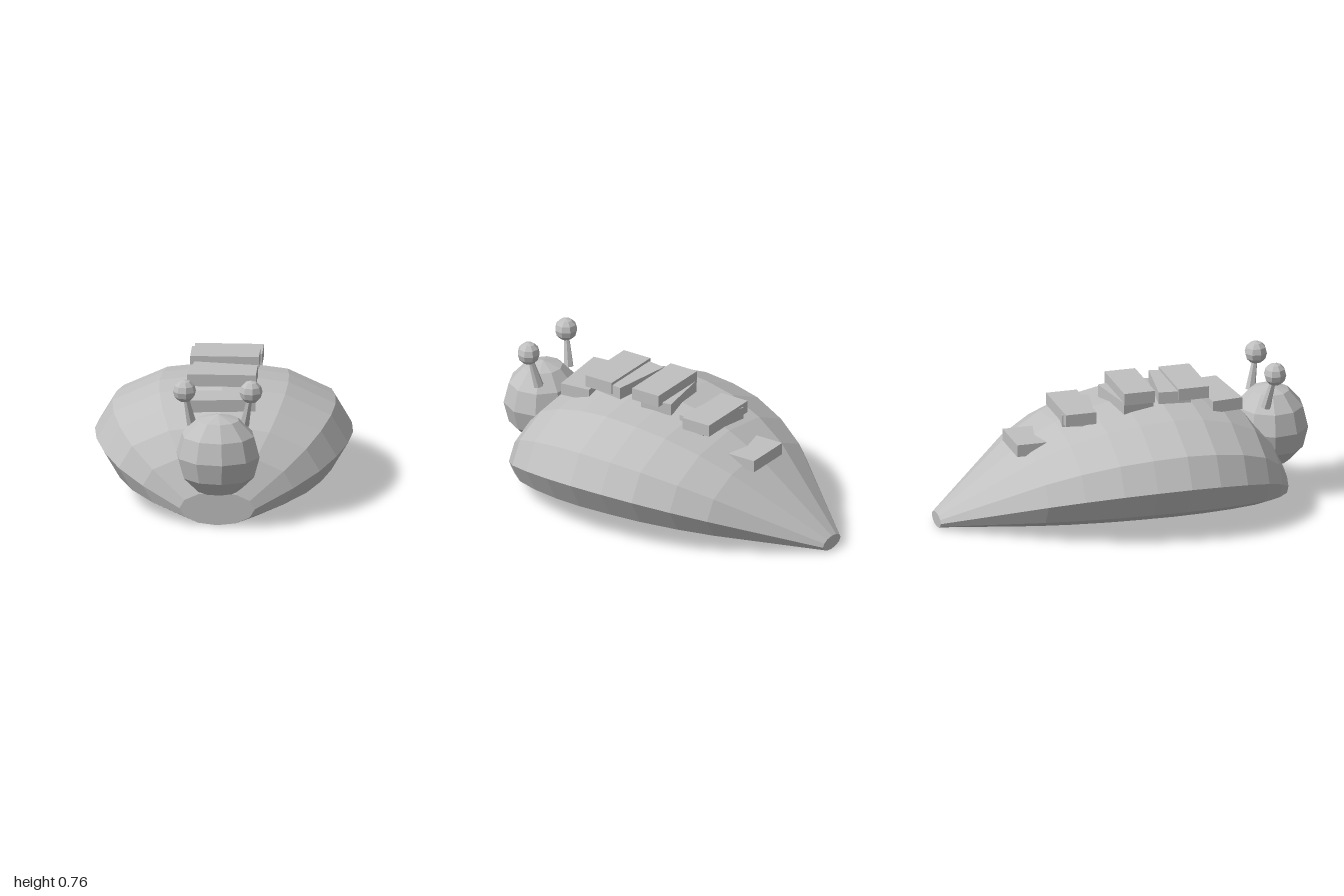
import * as THREE from 'three';

const stone = new THREE.MeshStandardMaterial({ color: 0xc0c0c0 });
stone.name = 'pale grey';

// Faceted mesh: unshared vertices give every face its own normal
function facetedMesh(name, geometry) {
  const flat = geometry.index ? geometry.toNonIndexed() : geometry;
  flat.computeVertexNormals();
  const mesh = new THREE.Mesh(flat, stone);
  mesh.name = name;
  return mesh;
}

// Twelve-sided rings resting on y = 0, lofted from tail to front
function bodyGeometry() {
  const rings = [ // z, half width
    [-1, 0.08], [-0.53, 0.455], [-0.36, 0.55], [-0.17, 0.62], [0, 0.652], [0.18, 0.667],
    [0.34, 0.65], [0.5, 0.6], [0.64, 0.52], [0.75, 0.39], [0.84, 0.195],
  ];
  const sides = 12;
  const positions = [];
  const point = (i, j) => {
    const [z, w] = rings[i];
    const h = w * 0.457;
    const a = (j / sides) * Math.PI * 2;
    return [w * Math.cos(a), h + h * Math.sin(a), z];
  };
  const centre = (i) => [0, rings[i][1] * 0.457, rings[i][0]];
  const last = rings.length - 1;
  for (let j = 0; j < sides; j++) {
    for (let i = 0; i < last; i++) {
      const a = point(i, j), b = point(i, j + 1), c = point(i + 1, j + 1), d = point(i + 1, j);
      positions.push(...a, ...b, ...c, ...a, ...c, ...d);
    }
    // Flat ends
    positions.push(...centre(0), ...point(0, j + 1), ...point(0, j));
    positions.push(...centre(last), ...point(last, j), ...point(last, j + 1));
  }
  const g = new THREE.BufferGeometry();
  g.setAttribute('position', new THREE.Float32BufferAttribute(positions, 3));
  return g;
}

// Tapered rod between two points
function stalk(name, from, to, r0, r1) {
  const dir = to.clone().sub(from);
  const mesh = facetedMesh(name, new THREE.CylinderGeometry(r1, r0, dir.length(), 6));
  mesh.position.copy(from).add(to).multiplyScalar(0.5);
  mesh.quaternion.setFromUnitVectors(new THREE.Vector3(0, 1, 0), dir.normalize());
  return mesh;
}

export function createModel() {
  const model = new THREE.Group();
  model.name = 'snailCreature';
  model.add(facetedMesh('body', bodyGeometry()));

  // Head
  const headGeometry = new THREE.SphereGeometry(0.22, 10, 6);
  headGeometry.rotateY(0.14 + Math.PI / 2).scale(1, 1, 0.9);
  const head = facetedMesh('head', headGeometry);
  head.position.set(0.003, 0.37, 0.8);
  model.add(head);

  // Eye stalks
  for (const [side, label] of [[1, 'left'], [-1, 'right']]) {
    const eye = facetedMesh(label + 'Eye', new THREE.SphereGeometry(0.06, 8, 6));
    eye.position.set(side * 0.172, 0.705, 0.775);
    eye.rotation.y = 0.2;
    const base = new THREE.Vector3(side * 0.137, 0.515, 0.735);
    model.add(eye, stalk(label + 'EyeStalk', base, eye.position, 0.027, 0.011));
  }

  // Back plates: width, depth, x, y, z, turn
  const plates = [
    [0.26, 0.165, 0, 0.413, -0.52, 0],
    [0.355, 0.165, 0, 0.568, -0.272, 0],
    [0.295, 0.17, 0, 0.552, -0.25, -0.19],
    [0.355, 0.165, 0, 0.652, 0.043, 0],
    [0.31, 0.17, -0.005, 0.6, 0.02, 0.16],
    [0.355, 0.165, 0, 0.647, 0.335, 0],
    [0.335, 0.17, 0, 0.632, 0.26, -0.14],
    [0.355, 0.165, 0, 0.563, 0.5, 0.1],
  ];
  plates.forEach(([w, d, x, y, z, turn], i) => {
    const plate = facetedMesh('backPlate' + (i + 1), new THREE.BoxGeometry(w, 0.064, d));
    plate.position.set(x, y, z);
    plate.rotation.y = turn;
    model.add(plate);
  });
  return model;
}
